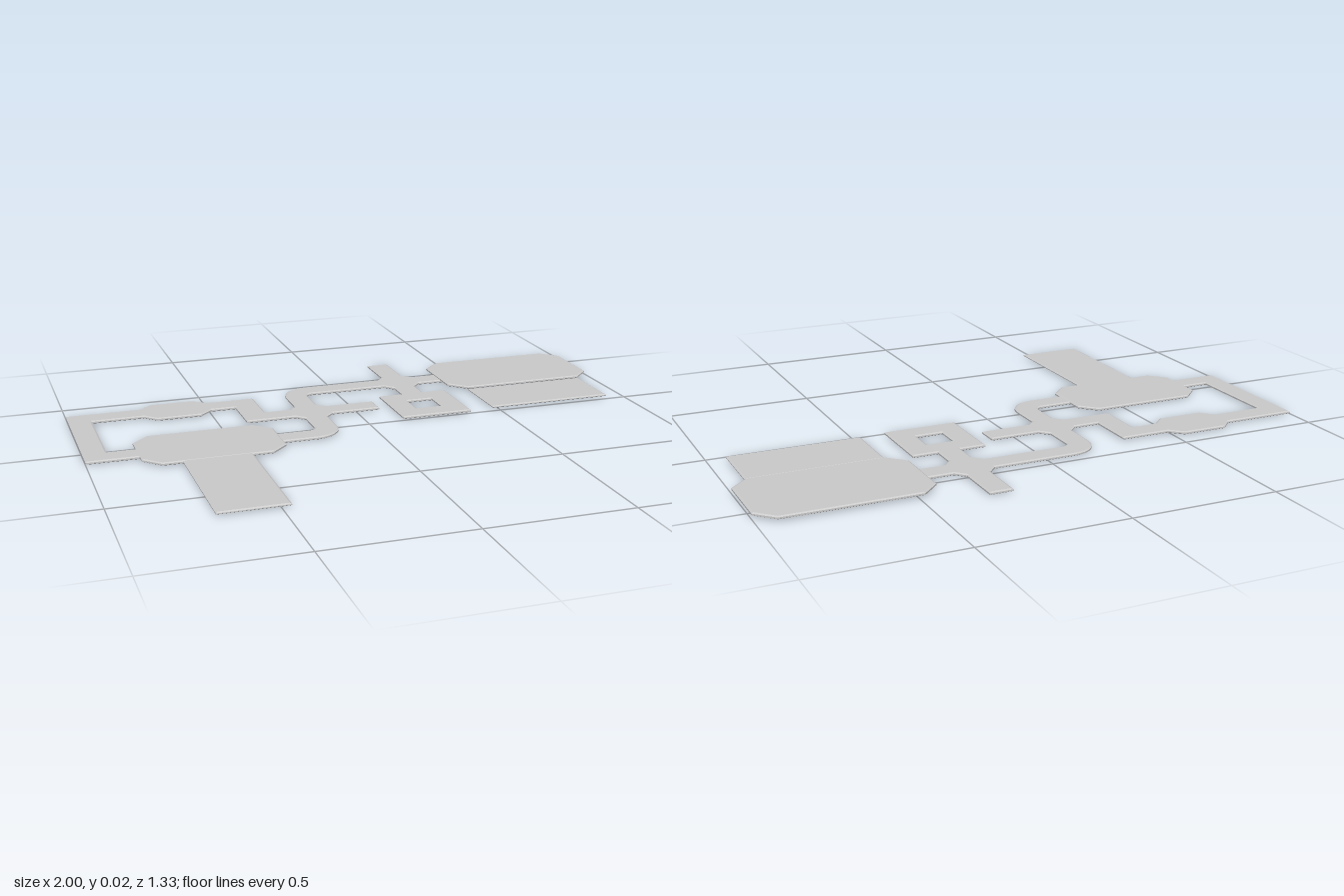
import * as THREE from 'three';

const BEVEL = 0.006;

// Traces [x, z, cornerRadius] points; a radius rounds that corner
function trace(path, pts) {
  const n = pts.length;
  const v = pts.map(([x, z]) => new THREE.Vector2(x, -z));
  pts.forEach(([, , r = 0], i) => {
    const p = v[i];
    const toward = (q) => p.clone().add(q.clone().sub(p).setLength(r));
    const a = r ? toward(v[(i + n - 1) % n]) : p;
    if (i === 0) path.moveTo(a.x, a.y);
    else path.lineTo(a.x, a.y);
    if (r) {
      const b = toward(v[(i + 1) % n]);
      const k = 0.5523; // circular arc as a cubic
      const c1 = a.clone().lerp(p, k), c2 = b.clone().lerp(p, k);
      path.bezierCurveTo(c1.x, c1.y, c2.x, c2.y, b.x, b.y);
    }
  });
  path.closePath();
  return path;
}

const rect = (x0, z0, x1, z1) => [[x0, z1], [x1, z1], [x1, z0], [x0, z0]];

// Rectangle with cut corners
const octagon = (x0, z0, x1, z1, c) => [
  [x0 + c, z1], [x1 - c, z1], [x1, z1 - c], [x1, z0 + c],
  [x1 - c, z0], [x0 + c, z0], [x0, z0 + c], [x0, z1 - c],
];

export function createModel() {
  const group = new THREE.Group();
  const material = new THREE.MeshStandardMaterial({ color: 0xcccccc });

  // Thin floor slab with a narrow bevelled rim
  function slab(name, pts, y0, y1, hole) {
    const shape = trace(new THREE.Shape(), pts);
    if (hole) shape.holes.push(trace(new THREE.Path(), hole));
    const t = 0.003;
    const geo = new THREE.ExtrudeGeometry(shape, {
      depth: y1 - y0 - 2 * t, curveSegments: 8,
      bevelEnabled: true, bevelSegments: 1, bevelThickness: t,
      bevelSize: BEVEL, bevelOffset: -BEVEL,
    });
    geo.rotateX(-Math.PI / 2).translate(0, y0 + t, 0);
    const mesh = new THREE.Mesh(geo, material);
    mesh.name = name;
    group.add(mesh);
  }

  // Corridor loop on the left of the plan, widening into a small room
  slab('westCorridor', [
    [-0.8, 0.105], [-1, 0.105], [-1, -0.395], [-0.738, -0.395],
    [-0.697, -0.435], [-0.537, -0.435], [-0.494, -0.395], [-0.32, -0.395],
    [-0.32, -0.22], [-0.22, -0.22], [-0.22, -0.14], [-0.405, -0.14],
    [-0.405, -0.312], [-0.494, -0.312], [-0.537, -0.27], [-0.697, -0.27],
    [-0.738, -0.312], [-0.92, -0.312], [-0.92, 0.025], [-0.8, 0.025],
  ], 0, 0.011);

  // Winding corridor through two cut-corner crossings
  slab('centralCorridor', [
    [-0.36, 0.105], [-0.12, 0.105, 0.1], [-0.12, -0.11], [-0.09, -0.14],
    [0.085, -0.14], [0.085, -0.22], [-0.09, -0.22], [-0.12, -0.25],
    [-0.12, -0.388, 0.03], [0.19, -0.388], [0.22, -0.355], [0.22, -0.255],
    [0.3, -0.255], [0.3, -0.355], [0.33, -0.388], [0.44, -0.388],
    [0.44, -0.468], [0.33, -0.468], [0.3, -0.5], [0.3, -0.668],
    [0.22, -0.668], [0.22, -0.5], [0.19, -0.468], [-0.2, -0.468, 0.1],
    [-0.2, -0.25], [-0.23, -0.22], [-0.25, -0.22], [-0.25, -0.14],
    [-0.23, -0.14], [-0.2, -0.11], [-0.2, 0.025, 0.03], [-0.36, 0.025],
  ], 0, 0.011);

  // Square ring around an open shaft
  slab('ringFloor', rect(0.13, -0.268, 0.388, -0.008), 0, 0.011,
    rect(0.21, -0.185, 0.305, -0.09));

  // Entrance room and its approach
  slab('westRoom', octagon(-0.825, -0.09, -0.34, 0.198, 0.057), 0.002, 0.013);
  slab('entranceWalk', rect(-0.7, 0.18, -0.468, 0.663), 0.003, 0.012);

  // Large raised room and the lower terrace beside it
  slab('eastRoom', octagon(0.42, -0.6, 0.997, -0.256, 0.06), 0.006, 0.017);
  slab('eastTerrace', rect(0.478, -0.25, 0.937, -0.02), 0.002, 0.011);

  return group;
}
